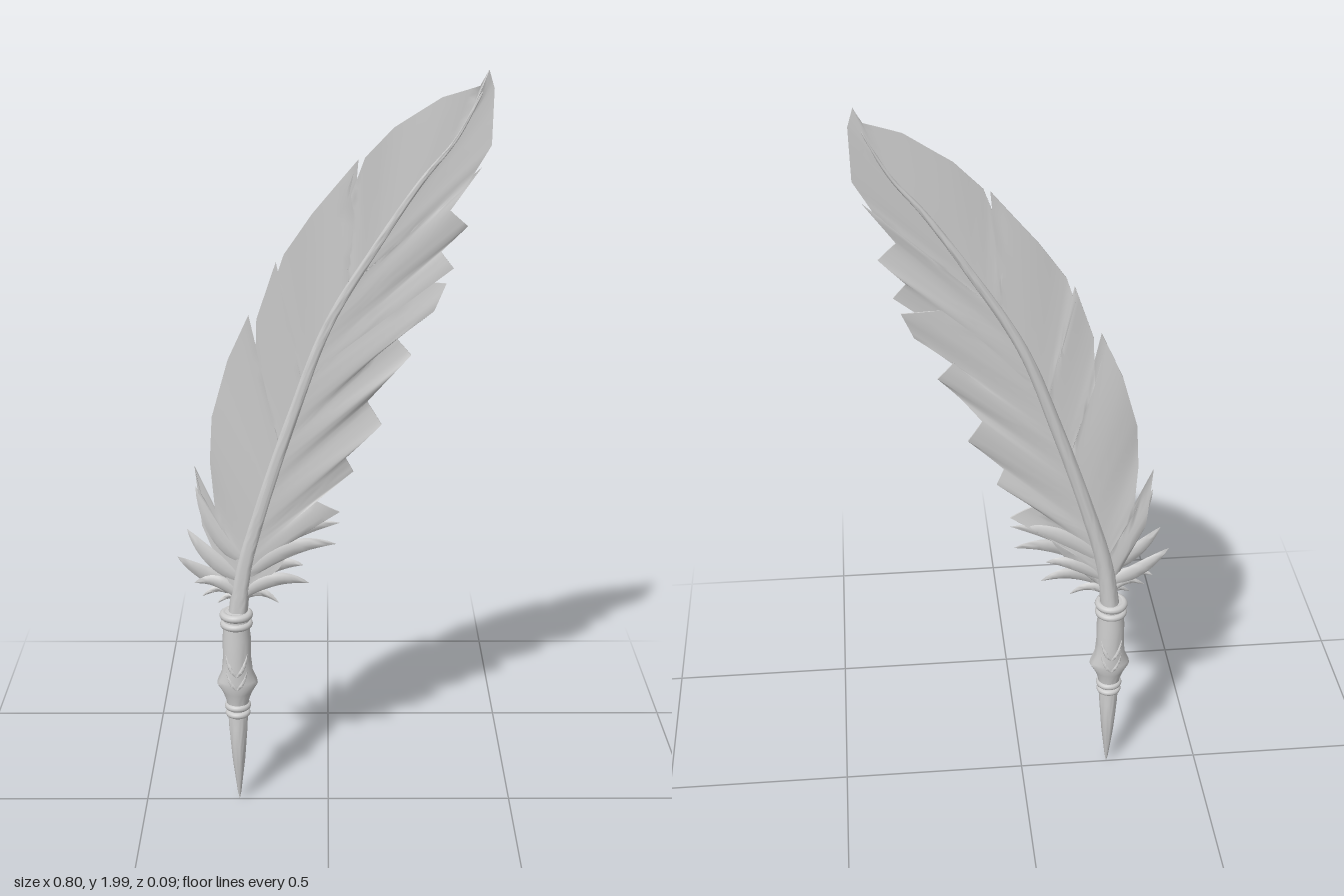
import * as THREE from 'three';
import { toCreasedNormals } from 'three/addons/utils/BufferGeometryUtils.js';

const V = (x, y, z = 0) => new THREE.Vector3(x, y, z);
const HANDLE_X = -0.245;

// Skin a list of closed rings that all have the same number of points
function skin(rings, crease = 0.8) {
  const n = rings[0].length, index = [];
  for (let i = 0; i < rings.length - 1; i++) {
    for (let j = 0; j < n; j++) {
      const k = (j + 1) % n;
      const a = i * n + j, b = i * n + k, c = a + n, d = b + n;
      index.push(a, b, d, a, d, c);
    }
  }
  const g = new THREE.BufferGeometry().setFromPoints(rings.flat());
  g.setIndex(index);
  return toCreasedNormals(g, crease);
}

// Elliptical ring around a centre, in the plane across the travel direction
function ring(centre, dir, width, depth, n, groove = 0) {
  const pts = [];
  for (let j = 0; j < n; j++) {
    const a = (j / n) * Math.PI * 2;
    const front = Math.max(0, -Math.sin(a));
    const w = width * Math.cos(a);
    const d = depth * Math.sin(a) * (1 - groove * front ** 8);
    pts.push(V(centre.x + w * dir.y, centre.y - w * dir.x, centre.z - d));
  }
  return pts;
}

// Upright turned part from rows of [y, half width, half depth]
const turned = (rows) =>
  skin(rows.map(([y, w, d]) => ring(V(HANDLE_X, y), V(0, 1), w, d, 28)), 0.6);

// Curved pointed leaf through three points
function leaf(root, mid, tip, width, depth) {
  const curve = new THREE.QuadraticBezierCurve3(root, mid, tip);
  const rings = [];
  for (let i = 0; i <= 12; i++) {
    const t = i / 12, s = Math.pow(Math.sin(Math.PI * (0.15 + 0.85 * t)), 0.8) || 0;
    const k = i === 12 ? 0 : s;
    rings.push(ring(curve.getPoint(t), curve.getTangent(t), width * k, depth * k, 8));
  }
  return skin(rings, 1);
}

// Centre line of the quill shaft
const shaft = new THREE.CatmullRomCurve3([
  V(-0.243, 0.55), V(-0.222, 0.7), V(-0.175, 0.87), V(-0.09, 1.127), V(0, 1.365),
  V(0.127, 1.577), V(0.23, 1.73), V(0.31, 1.83), V(0.375, 1.95),
]);
const samples = shaft.getPoints(300);
function shaftX(y) {
  const i = Math.max(1, samples.findIndex((p) => p.y >= y));
  const a = samples[i - 1], b = samples[i];
  return a.x + ((b.x - a.x) * (y - a.y)) / (b.y - a.y);
}

// Vane edges: [edge x, edge y, height where that barb leaves the shaft]
const leftEdge = [
  [-0.24, 0.62, 0.58], [-0.29, 0.72, 0.62], [-0.33, 0.82, 0.65], [-0.345, 0.985, 0.7],
  [-0.33, 0.91, 0.705], [-0.295, 0.86, 0.71], [-0.305, 1.0, 0.76], [-0.298, 1.12, 0.85],
  [-0.255, 1.27, 0.95], [-0.2, 1.39, 1.03], [-0.203, 1.33, 1.035], [-0.185, 1.25, 1.04],
  [-0.18, 1.38, 1.1], [-0.13, 1.525, 1.2], [-0.132, 1.48, 1.205], [-0.11, 1.545, 1.23],
  [-0.04, 1.645, 1.33], [0.074, 1.78, 1.45], [0.045, 1.7, 1.455], [0.037, 1.61, 1.46],
  [0.055, 1.69, 1.49], [0.09, 1.785, 1.53], [0.16, 1.857, 1.6], [0.275, 1.93, 1.72],
  [0.365, 1.957, 1.83], [0.386, 1.995, 1.9],
];
const rightEdge = [
  [-0.23, 0.62, 0.58], [-0.13, 0.7, 0.62], [-0.07, 0.8, 0.66], [0.03, 0.86, 0.7],
  [-0.03, 0.89, 0.73], [0.065, 0.97, 0.78], [0.045, 1.01, 0.8], [0.137, 1.1, 0.88],
  [0.1, 1.16, 0.92], [0.15, 1.22, 0.98], [0.21, 1.285, 1.04], [0.17, 1.33, 1.06],
  [0.265, 1.4, 1.13], [0.295, 1.47, 1.2], [0.15, 1.48, 1.21], [0.312, 1.51, 1.23],
  [0.28, 1.55, 1.27], [0.345, 1.615, 1.34], [0.3, 1.655, 1.37], [0.375, 1.76, 1.47],
  [0.335, 1.71, 1.48], [0.397, 1.815, 1.56], [0.4, 1.95, 1.75], [0.386, 1.995, 1.9],
];

// One half of the vane: thick by the shaft, thin and gently waved at the edge
function vane(edge, side) {
  const rings = [], sub = 4, across = 8;
  for (let i = 0; i <= (edge.length - 1) * sub; i++) {
    const k = Math.min(Math.floor(i / sub), edge.length - 2), f = i / sub - k;
    const [ex, ey, ry] = edge[k].map((v, c) => v + (edge[k + 1][c] - v) * f);
    const rx = shaftX(ry), thin = 1 - 0.6 * (ry - 0.58) / 1.32;
    const front = [], back = [];
    for (let j = 0; j <= across; j++) {
      const s = j / across;
      const wave = 0.006 * thin * s * Math.sin(i * 0.55) + 0.0015 * s * (1 - s) * Math.sin(i * 2.6);
      const half = (0.012 * (1 - s) + 0.0025) * thin;
      const x = rx + (ex - rx) * s, y = ry + (ey - ry) * s;
      front.push(V(x, y, wave + half));
      back.push(V(x, y, wave - half));
    }
    rings.push(side > 0 ? [...front, ...back.reverse()] : [...back, ...front.reverse()]);
  }
  return skin(rings, 1);
}

export function createModel() {
  const group = new THREE.Group();
  group.name = 'quillPen';
  const grey = new THREE.MeshStandardMaterial({ color: 0xcccccc });
  grey.name = 'paleGrey';
  const add = (name, geometry) => {
    const mesh = new THREE.Mesh(geometry, grey);
    mesh.name = name;
    group.add(mesh);
    return mesh;
  };

  // Feather
  add('leftVane', vane(leftEdge, -1));
  add('rightVane', vane(rightEdge, 1));
  const rows = [];
  for (let i = 0; i <= 60; i++) {
    const t = i / 60, c = shaft.getPoint(t).setZ(-0.004 * (1 - t));
    const size = i === 60 ? 0 : 1;
    rows.push(ring(c, shaft.getTangent(t), size * (0.003 + 0.023 * (1 - t)),
      size * (0.004 + 0.028 * Math.pow(1 - t, 0.8)), 20, 0.18));
  }
  add('shaft', skin(rows, 0.9));

  // Downy barbs at the foot: root height, bend, tip, half width
  const barbs = [
    [0.6, -0.27, 0.67, -0.335, 0.62, 0.012], [0.62, -0.29, 0.69, -0.355, 0.655, 0.017],
    [0.64, -0.32, 0.67, -0.397, 0.735, 0.022], [0.67, -0.31, 0.72, -0.37, 0.81, 0.022],
    [0.6, -0.25, 0.64, -0.295, 0.6, 0.01], [0.72, -0.3, 0.78, -0.345, 0.93, 0.022],
    [0.6, -0.19, 0.66, -0.13, 0.6, 0.013], [0.62, -0.15, 0.7, -0.05, 0.655, 0.02],
    [0.65, -0.14, 0.73, -0.065, 0.71, 0.02], [0.67, -0.12, 0.79, 0.022, 0.767, 0.024],
    [0.71, -0.12, 0.82, 0.03, 0.83, 0.024],
  ];
  barbs.forEach(([ry, mx, my, tx, ty, w], i) => {
    const z = 0.008 * (i % 2 ? 1 : -1);
    add('downyBarb', leaf(V(shaftX(ry), ry, z), V(mx, my, z), V(tx, ty, -z * 0.5), w, 0.007));
  });

  // Nib
  add('nib', turned([
    [0.005, 0, 0], [0.03, 0.005, 0.006], [0.08, 0.011, 0.015], [0.13, 0.017, 0.023],
    [0.18, 0.021, 0.027], [0.23, 0.025, 0.025], [0.28, 0.027, 0.021], [0.31, 0.027, 0.021],
  ]));

  // Grip with pointed side shoulders
  add('grip', turned([
    [0.29, 0.028, 0.028], [0.315, 0.031, 0.03], [0.34, 0.04, 0.037], [0.365, 0.055, 0.041],
    [0.375, 0.053, 0.041], [0.4, 0.042, 0.041], [0.44, 0.038, 0.04], [0.5, 0.038, 0.038],
    [0.53, 0.035, 0.035], [0.575, 0.034, 0.034], [0.58, 0, 0],
  ]));

  // Carved chevrons on the front and back of the grip
  for (const face of [1, -1]) {
    for (const side of [1, -1]) {
      for (const y of [0.36, 0.4]) {
        add('gripCarving', leaf(V(HANDLE_X, y, 0.039 * face),
          V(HANDLE_X + side * 0.018, y + 0.015, 0.039 * face),
          V(HANDLE_X + side * 0.029, y + 0.06, 0.026 * face), 0.006, 0.005));
      }
    }
  }

  // Collar rings
  for (const [y, r, tube] of [[0.275, 0.025, 0.009], [0.297, 0.026, 0.01],
    [0.54, 0.034, 0.01], [0.566, 0.034, 0.011]]) {
    const collar = add('collarRing', new THREE.TorusGeometry(r, tube, 10, 32));
    collar.rotation.x = Math.PI / 2;
    collar.position.set(HANDLE_X, y, 0);
  }
  return group;
}
